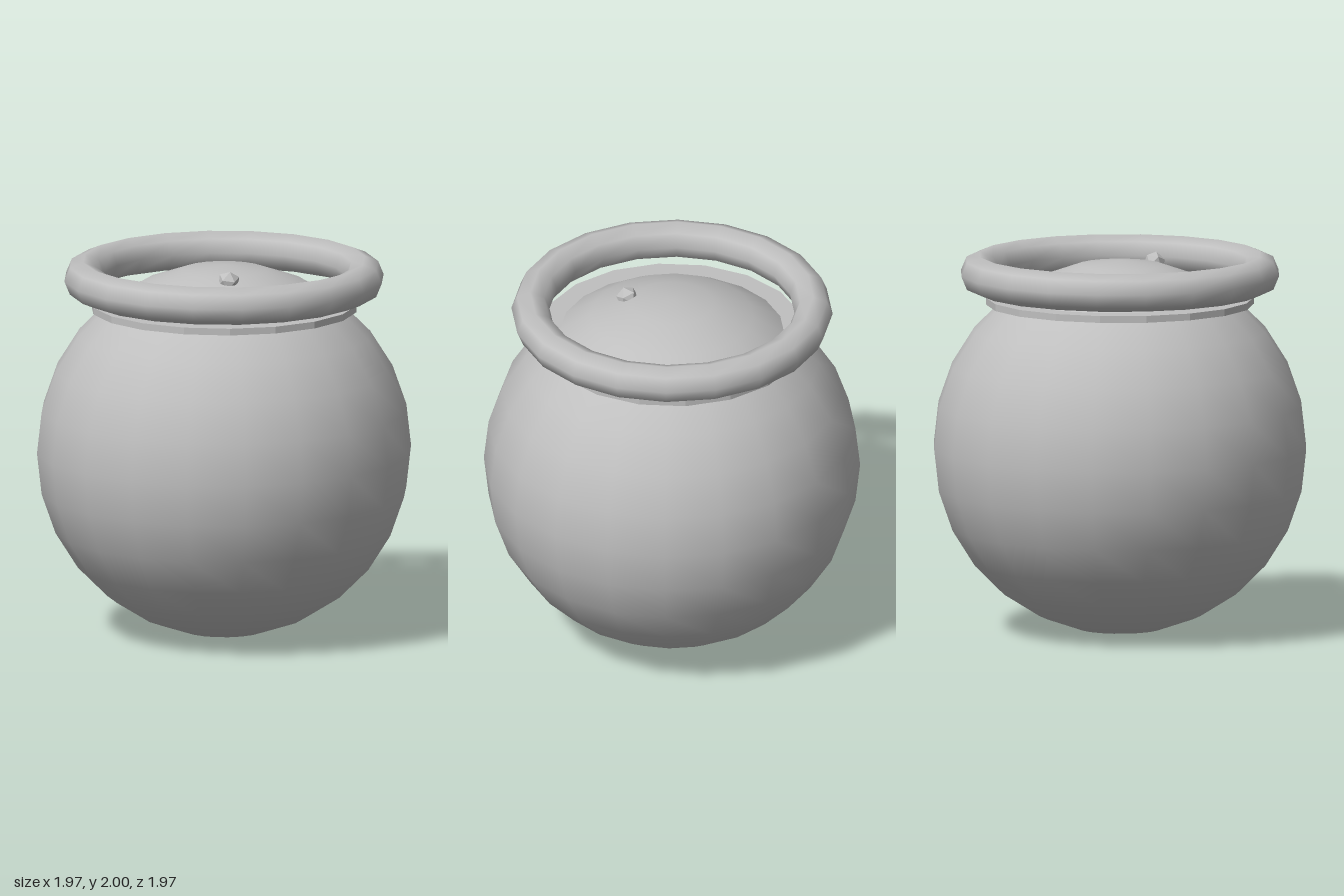
import * as THREE from 'three';

export function createModel() {
  const group = new THREE.Group();
  const grey = new THREE.MeshStandardMaterial({ color: 0xbfbfbf });
  grey.name = 'light grey';

  const add = (name, geometry, x, y, z) => {
    const mesh = new THREE.Mesh(geometry, grey);
    mesh.name = name;
    mesh.position.set(x, y, z);
    group.add(mesh);
    return mesh;
  };

  // round body, closed at the top by its own dome
  add('body', new THREE.SphereGeometry(0.985, 20, 14), 0, 0.985, 0);

  // thin faceted collar around the neck, with a corner on the x axis
  const collar = new THREE.CylinderGeometry(0.7, 0.7, 0.036, 18).toNonIndexed();
  collar.computeVertexNormals();
  add('collar', collar, 0, 1.753, 0).rotation.y = Math.PI / 2;

  // thick ring floating above the collar
  const ring = new THREE.TorusGeometry(0.741, 0.1, 8, 20).rotateX(-Math.PI / 2);
  add('rimRing', ring, 0, 1.9, 0);

  // small faceted pebble half sunk in the dome
  add('pebble', new THREE.IcosahedronGeometry(0.06), 0.2, 1.93, 0.15).rotation.set(0.3, 0.4, 0.2);

  return group;
}
